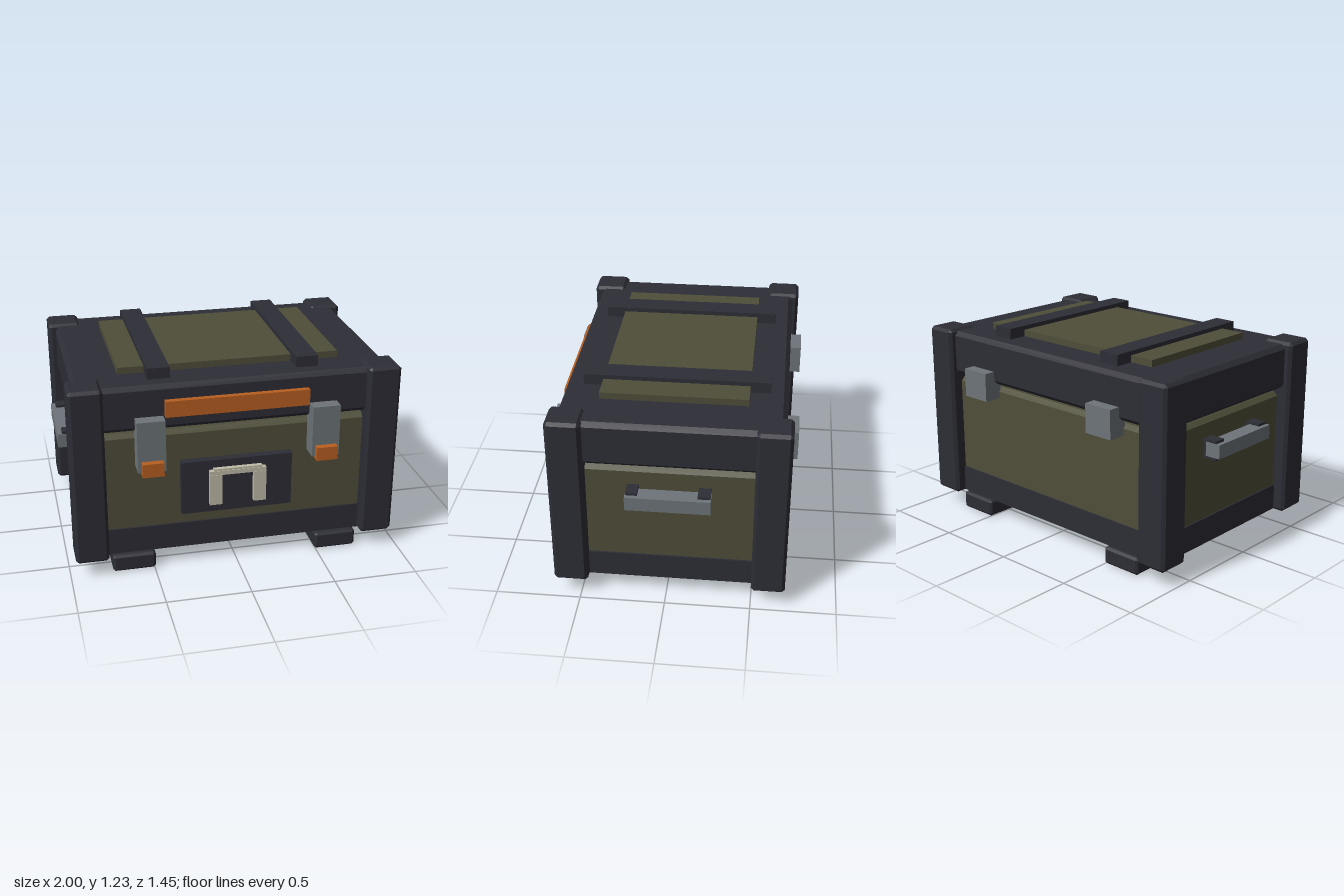
import * as THREE from 'three';
import { ConvexGeometry } from 'three/addons/geometries/ConvexGeometry.js';

const mat = (name, color) => {
  const m = new THREE.MeshStandardMaterial({ color });
  m.name = name;
  return m;
};

// Box between two limits per axis, with every edge chamfered by c
function chamferBox(w, h, d, c) {
  const pts = [];
  for (const sx of [-1, 1]) for (const sy of [-1, 1]) for (const sz of [-1, 1]) {
    for (const [a, b, e] of [[0, c, c], [c, 0, c], [c, c, 0]]) {
      pts.push(new THREE.Vector3(sx * (w / 2 - a), sy * (h / 2 - b), sz * (d / 2 - e)));
    }
  }
  return new ConvexGeometry(pts);
}

export function createModel() {
  const root = new THREE.Group();
  root.name = 'crate';
  const olive = mat('olive', 0x4f4e39);
  const dark = mat('charcoal', 0x2d2d36);
  const steel = mat('steel', 0x6d7479);
  const orange = mat('orange', 0xb85f20);
  const cream = mat('cream', 0xc0bba8);

  const add = (name, material, [x0, x1], [y0, y1], [z0, z1], c = 0) => {
    const w = x1 - x0, h = y1 - y0, d = z1 - z0;
    const geo = c ? chamferBox(w, h, d, c) : new THREE.BoxGeometry(w, h, d);
    const mesh = new THREE.Mesh(geo, material);
    mesh.name = name;
    mesh.position.set((x0 + x1) / 2, (y0 + y1) / 2, (z0 + z1) / 2);
    root.add(mesh);
  };
  // Range from a to b on the given side of x = 0
  const side = (s, a, b) => (s > 0 ? [a, b] : [-b, -a]);

  // Body, base band and lid, with an open gap under the lid
  add('body', olive, [-0.885, 0.885], [0.12, 0.866], [-0.622, 0.575], 0.025);
  add('baseBand', dark, [-0.895, 0.895], [0.105, 0.265], [-0.632, 0.585]);
  add('lid', dark, [-0.925, 0.925], [0.893, 1.165], [-0.658, 0.61], 0.026);
  add('lidPanel', olive, [-0.655, 0.655], [1.15, 1.205], [-0.443, 0.397]);
  add('lidGrip', orange, [-0.422, 0.42], [0.98, 1.077], [0.59, 0.645]);

  for (const s of [-1, 1]) {
    // Corner posts
    add('frontPost', dark, side(s, 0.77, 0.967), [0.097, 1.178], [0.455, 0.655], 0.018);
    add('backPost', dark, side(s, 0.77, 0.967), [0.097, 1.178], [-0.697, -0.5], 0.018);
    // Runners under the base
    add('runner', dark, side(s, 0.492, 0.748), [0, 0.106], [-0.663, 0.622], 0.014);
    // Lid straps
    add('lidStrap', dark, side(s, 0.37, 0.502), [1.15, 1.23], [-0.557, 0.51]);
    // Front latches with coloured catches
    add('latch', steel, side(s, 0.43, 0.593), [0.67, 0.98], [0.565, 0.687]);
    add('latchCatch', orange, side(s, 0.448, 0.573), [0.658, 0.74], [0.66, 0.727]);
    // Back hinges
    add('hinge', steel, side(s, 0.417, 0.605), [0.8, 0.975], [-0.728, -0.61]);
    // Side handles
    add('handleBar', steel, side(s, 0.905, 1), [0.658, 0.742], [-0.262, 0.22]);
    add('handleBracket', dark, side(s, 0.87, 0.974), [0.641, 0.757], [0.15, 0.217]);
    add('handleBracket', dark, side(s, 0.87, 0.974), [0.641, 0.757], [-0.259, -0.187]);
  }

  // Front plate with a small raised arch
  add('frontPlate', dark, [-0.332, 0.328], [0.345, 0.677], [0.56, 0.625]);
  add('archLeg', cream, [-0.171, -0.097], [0.402, 0.595], [0.61, 0.658]);
  add('archLeg', cream, [0.092, 0.166], [0.402, 0.595], [0.61, 0.658]);
  add('archTop', cream, [-0.171, 0.166], [0.592, 0.618], [0.61, 0.656]);
  add('archCap', cream, [-0.147, 0.142], [0.61, 0.63], [0.61, 0.652]);

  return root;
}
